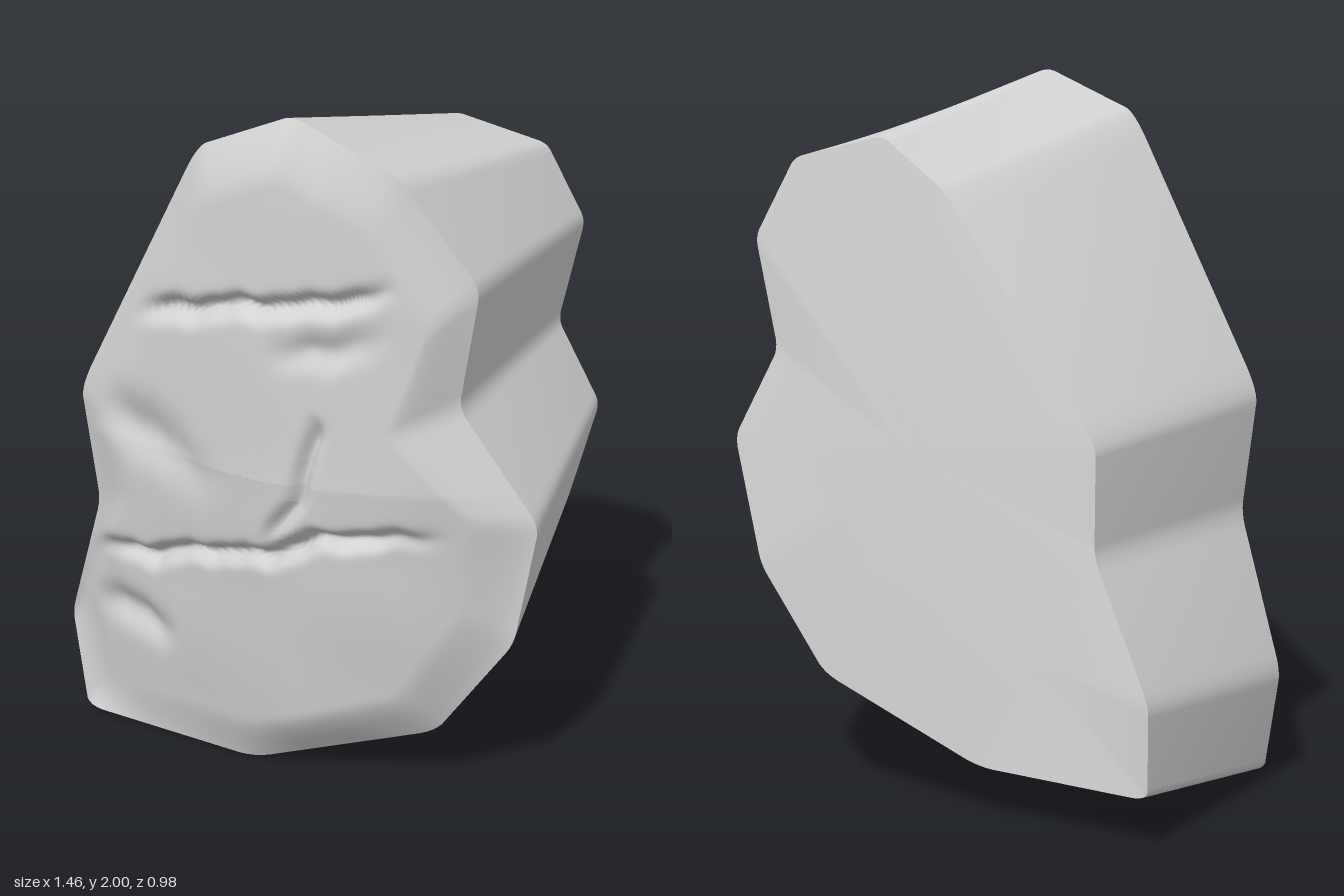
import * as THREE from 'three';
import { toCreasedNormals } from 'three/addons/utils/BufferGeometryUtils.js';

// Corner pairs round the slab, counter-clockwise from the front: [front xyz, back xyz]
const CORNERS = [
  [[-0.685, 0.025, 0.32], [-0.705, 0.145, -0.41]],
  [[-0.12, 0.00, 0.29], [-0.18, 0.15, -0.41]],
  [[0.425, 0.195, 0.19], [0.29, 0.36, -0.47]],
  [[0.665, 0.54, 0.20], [0.49, 0.65, -0.49]],
  [[0.73, 0.91, 0.20], [0.595, 1.00, -0.46]],
  [[0.515, 1.23, 0.26], [0.48, 1.25, -0.41]],
  [[0.58, 1.58, 0.28], [0.55, 1.56, -0.41]],
  [[0.39, 1.865, 0.36], [0.45, 1.78, -0.36]],
  [[0.10, 2.005, 0.41], [0.19, 1.845, -0.31]],
  [[-0.185, 1.885, 0.42], [0.00, 1.70, -0.29]],
  [[-0.605, 1.11, 0.40], [-0.49, 1.06, -0.32]],
  [[-0.57, 0.76, 0.38], [-0.50, 0.76, -0.34]],
  [[-0.735, 0.33, 0.31], [-0.705, 0.40, -0.41]],
].map((pair) => pair.map((p) => new THREE.Vector3(...p)));
const PER_EDGE = 24;

// Cracks and dents carved in the face: path, half width, depth, end taper (higher is blunter)
const GROOVES = [
  { path: [[-0.62, 0.62], [-0.38, 0.64], [-0.22, 0.70], [0, 0.745], [0.18, 0.83], [0.55, 0.88]], w: 0.027, depth: 0.055, taper: 6 },
  { path: [[-0.42, 1.39], [-0.2, 1.44], [0, 1.49], [0.2, 1.515], [0.41, 1.58]], w: 0.025, depth: 0.05, taper: 5 },
  { path: [[0.02, 0.78], [0.13, 0.94], [0.17, 1.06], [0.2, 1.22]], w: 0.022, depth: 0.032, taper: 5 },
  { path: [[-0.6, 1.14], [-0.36, 1.05], [-0.06, 0.92]], w: 0.08, depth: 0.042, taper: 2 },
  { path: [[0.02, 1.36], [0.2, 1.385], [0.42, 1.47]], w: 0.04, depth: 0.028, taper: 2 },
  { path: [[-0.64, 0.44], [-0.47, 0.42], [-0.3, 0.38]], w: 0.055, depth: 0.036, taper: 2.5 },
];

// Piecewise linear profile lookup
function profile(points, v) {
  if (v <= points[0][0]) return points[0][1];
  for (let i = 1; i < points.length; i++) {
    const [a, za] = points[i - 1], [b, zb] = points[i];
    if (v <= b) return za + (zb - za) * (v - a) / (b - a);
  }
  return points[points.length - 1][1];
}

const ACROSS = [[-0.73, 0.40], [-0.6, 0.44], [-0.48, 0.46], [0, 0.49], [0.06, 0.49], [0.2, 0.46], [0.45, 0.37], [0.72, 0.26]];
const UPWARD = [[0, -0.15], [0.2, -0.12], [0.6, -0.06], [1, 0], [1.5, 0], [2, -0.015]];

// Depth of one groove at a point, fading towards both ends of its path
function carve({ path, w, depth, taper }, x, y) {
  let best = Infinity, along = 0;
  for (let i = 1; i < path.length; i++) {
    const [ax, ay] = path[i - 1], [bx, by] = path[i];
    const dx = bx - ax, dy = by - ay;
    const t = THREE.MathUtils.clamp(((x - ax) * dx + (y - ay) * dy) / (dx * dx + dy * dy), 0, 1);
    const d = Math.hypot(x - ax - dx * t, y - ay - dy * t);
    if (d < best) { best = d; along = (i - 1 + t) / (path.length - 1); }
  }
  const fade = THREE.MathUtils.smoothstep(taper * Math.min(along, 1 - along), 0, 1);
  return depth * fade * Math.exp(-((best / w) ** 2));
}

// Height of the weathered face
function faceHeight(x, y) {
  let z = profile(ACROSS, x) + profile(UPWARD, y);
  // the block above the lower crack stands slightly proud
  const gap = y - profile(GROOVES[0].path, x);
  const step = 0.013 * (1 - THREE.MathUtils.smoothstep(x, 0.35, 0.55));
  z += step * Math.tanh(gap / 0.03) * Math.exp(-((gap / 0.2) ** 2));
  z += 0.003 * Math.sin(9 * x + 4 * y) * Math.sin(8 * y - 3 * x);
  // a slight waver makes the cracks ragged
  const wx = x + 0.005 * Math.sin(31 * y), wy = y + 0.006 * Math.sin(29 * x) + 0.003 * Math.sin(61 * x);
  for (const g of GROOVES) z -= carve(g, wx, wy);
  return z;
}

// Outline of the front (0) or back (1), sampled evenly per edge with worn corners
function rim(side) {
  const points = [];
  CORNERS.forEach((c, i) => {
    const next = CORNERS[(i + 1) % CORNERS.length];
    for (let k = 0; k < PER_EDGE; k++) points.push(c[side].clone().lerp(next[side], k / PER_EDGE));
  });
  const n = points.length;
  return points.map((p, i) => {
    const sum = new THREE.Vector3();
    for (let k = -2; k <= 2; k++) sum.add(points[(i + k + n) % n]);
    return sum.divideScalar(5);
  });
}

// Join successive closed rings with quads
function skin(rings) {
  const n = rings[0].length, pos = [], index = [];
  rings.forEach((ring) => ring.forEach((p) => pos.push(p.x, p.y, p.z)));
  for (let r = 0; r < rings.length - 1; r++) {
    for (let j = 0; j < n; j++) {
      const k = (j + 1) % n;
      const a = r * n + j, b = a + n, c = (r + 1) * n + k, d = r * n + k;
      index.push(a, b, c, a, c, d);
    }
  }
  const g = new THREE.BufferGeometry();
  g.setAttribute('position', new THREE.Float32BufferAttribute(pos, 3));
  g.setIndex(index);
  return g;
}

export function createModel() {
  const group = new THREE.Group();
  group.name = 'rockSlab';
  const stone = new THREE.MeshStandardMaterial({ color: 0xd2d2d2 });
  stone.name = 'grey stone';
  const add = (name, geometry) => {
    const mesh = new THREE.Mesh(geometry, stone);
    mesh.name = name;
    group.add(mesh);
  };

  const front = rim(0), back = rim(1), n = front.length;

  // Carved face: rings from the middle out to a rounded rim
  const STEPS = 72, mid = new THREE.Vector2(0, 1);
  const faceRings = [];
  for (let s = 0; s <= STEPS; s++) {
    const t = Math.max(s / STEPS, 0.001);
    faceRings.push(front.map((p) => {
      const x = mid.x + (p.x - mid.x) * t, y = mid.y + (p.y - mid.y) * t;
      const d = (1 - t) * Math.hypot(p.x - mid.x, p.y - mid.y);
      const u = Math.min(1, d / 0.16);
      const blend = 1 - (1 - u) ** 1.7;
      return new THREE.Vector3(x, y, p.z + (faceHeight(x, y) - p.z) * blend);
    }));
  }
  const face = skin(faceRings);
  face.computeVertexNormals();
  add('carvedFace', face);

  // Broad facets round the edge
  const sideRings = [0, 0.5, 1].map((t) => front.map((p, i) => p.clone().lerp(back[i], t)));
  add('sideFacets', toCreasedNormals(skin(sideRings), 0.5));

  // Flat back, folded along a line that cuts off the lower corner
  const foldA = PER_EDGE, foldB = 11 * PER_EDGE;
  const centre = new THREE.Vector3(0.05, 1.0, -0.405);
  const foldMid = back[foldA].clone().lerp(back[foldB], 0.5);
  const tris = [centre, back[foldA], back[foldB]];
  for (let i = foldA; i < foldA + n; i++) {
    tris.push(i < foldB ? centre : foldMid, back[(i + 1) % n], back[i % n]);
  }
  add('backFace', toCreasedNormals(new THREE.BufferGeometry().setFromPoints(tris), 0.2));

  return group;
}
